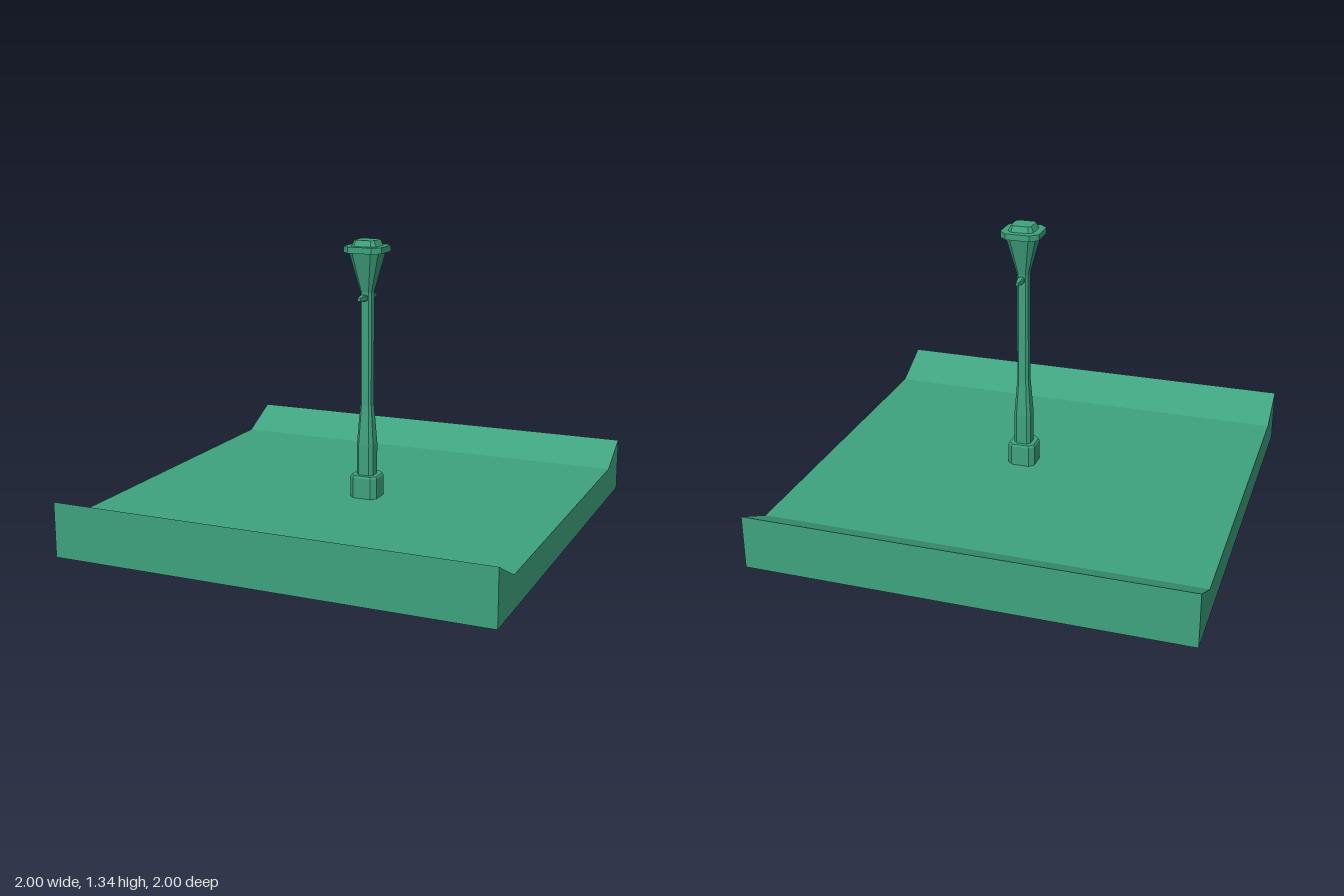
import * as THREE from 'three';

const material = new THREE.MeshStandardMaterial({ color: 0x3fa37f, flatShading: true });

// Closed loft through chamfered-square sections: [height, half width, half flat]
function chamferedLoft(sections) {
  const pos = [], index = [];
  for (const [y, h, f] of sections) {
    const ring = [[h, f], [f, h], [-f, h], [-h, f], [-h, -f], [-f, -h], [f, -h], [h, -f]];
    for (const [x, z] of ring) pos.push(x, y, z);
  }
  const top = (sections.length - 1) * 8;
  for (let s = 0; s < top; s += 8) {
    for (let i = 0; i < 8; i++) {
      const j = (i + 1) % 8;
      index.push(s + i, s + 8 + i, s + j, s + j, s + 8 + i, s + 8 + j);
    }
  }
  for (let i = 1; i < 7; i++) {
    index.push(0, i, i + 1, top, top + i + 1, top + i);
  }
  const g = new THREE.BufferGeometry();
  g.setAttribute('position', new THREE.Float32BufferAttribute(pos, 3));
  g.setIndex(index);
  const flat = g.toNonIndexed();
  flat.computeVertexNormals();
  return flat;
}

function addPart(parent, name, geometry) {
  const mesh = new THREE.Mesh(geometry, material);
  mesh.name = name;
  parent.add(mesh);
  return mesh;
}

export function createModel() {
  const model = new THREE.Group();
  model.name = 'streetLampTile';

  // Ground slab with banks rising at front and back
  const profile = new THREE.Shape([
    [-1, 0], [1, 0], [1, 0.25], [0.8, 0.15], [-0.8, 0.15], [-1, 0.25],
  ].map(([x, y]) => new THREE.Vector2(x, y)));
  const ground = new THREE.ExtrudeGeometry(profile, { depth: 2, bevelEnabled: false });
  ground.translate(0, 0, -1).rotateY(Math.PI / 2);
  addPart(model, 'ground', ground);

  const lamp = new THREE.Group();
  lamp.name = 'lampPost';
  lamp.position.set(0.07, 0, 0.07);
  model.add(lamp);

  addPart(lamp, 'plinth', chamferedLoft([[0.15, 0.065, 0.042], [0.245, 0.065, 0.042], [0.255, 0.06, 0.039]]));
  addPart(lamp, 'post', chamferedLoft([
    [0.25, 0.04, 0.025], [0.4, 0.04, 0.025], [0.58, 0.027, 0.017], [1.11, 0.027, 0.017],
  ]));
  addPart(lamp, 'lantern', chamferedLoft([[1.1, 0.027, 0.017], [1.28, 0.071, 0.044]]));
  addPart(lamp, 'lanternRim', chamferedLoft([[1.28, 0.091, 0.056], [1.308, 0.091, 0.056]]));
  addPart(lamp, 'lanternCap', chamferedLoft([[1.305, 0.061, 0.041], [1.335, 0.048, 0.036]]));

  // Tapered crossbar arms on both sides of the post
  for (const side of [1, -1]) {
    const arm = addPart(lamp, side > 0 ? 'frontArm' : 'backArm', chamferedLoft([
      [0, 0.012, 0.009], [0.055, 0.014, 0.01], [0.095, 0.007, 0.005],
    ]));
    arm.rotation.x = side * Math.PI / 2;
    arm.position.y = 1.077;
  }
  return model;
}
